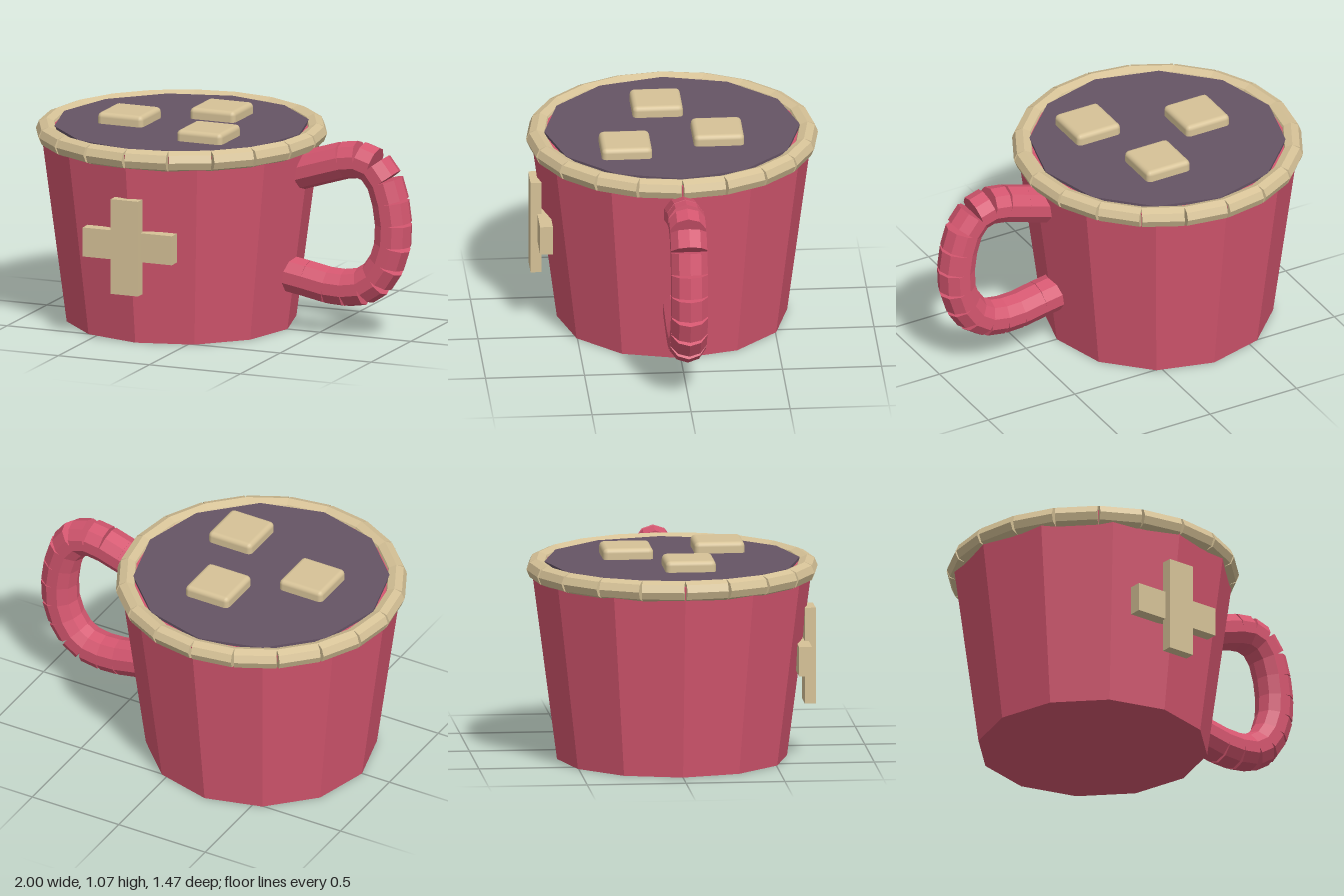
import * as THREE from 'three';
import { RoundedBoxGeometry } from 'three/addons/geometries/RoundedBoxGeometry.js';

const CX = -0.26; // axis of the cup

// Faceted normals for the low-poly look
function faceted(geometry) {
  const g = geometry.index ? geometry.toNonIndexed() : geometry;
  g.computeVertexNormals();
  return g;
}

function addMesh(parent, name, geometry, material, x, y, z) {
  const mesh = new THREE.Mesh(geometry, material);
  mesh.name = name;
  mesh.position.set(x, y, z);
  parent.add(mesh);
  return mesh;
}

// Chain of straight capped cylinders, leaving wedge gaps on the outside of bends
function segmentChain(name, points, radius, sides, material) {
  const group = new THREE.Group();
  group.name = name;
  for (let i = 0; i < points.length - 1; i++) {
    const a = points[i], b = points[i + 1];
    const geo = new THREE.CylinderGeometry(radius, radius, a.distanceTo(b), sides);
    geo.rotateX(Math.PI / 2);
    const mid = a.clone().add(b).multiplyScalar(0.5);
    const mesh = addMesh(group, name + 'Segment', faceted(geo), material, mid.x, mid.y, mid.z);
    mesh.lookAt(b);
  }
  return group;
}

export function createModel() {
  const model = new THREE.Group();
  model.name = 'mug';

  const red = new THREE.MeshStandardMaterial({ color: 0xd4566f });
  red.name = 'rose red';
  const cream = new THREE.MeshStandardMaterial({ color: 0xd6c297 });
  cream.name = 'cream';
  const cocoa = new THREE.MeshStandardMaterial({ color: 0x665465 });
  cocoa.name = 'cocoa purple';

  // Tapered twelve-sided cup and the drink on top
  addMesh(model, 'cup', faceted(new THREE.CylinderGeometry(0.713, 0.582, 0.998, 12)), red, CX, 0.499, 0);
  addMesh(model, 'drink', faceted(new THREE.CylinderGeometry(0.645, 0.645, 0.03, 12)), cocoa, CX, 0.998, 0);

  // Rim of twenty short rods
  const rimPoints = [];
  for (let i = 0; i <= 20; i++) {
    const t = (i / 20) * Math.PI * 2;
    rimPoints.push(new THREE.Vector3(CX + 0.684 * Math.cos(t), 0.972, 0.684 * Math.sin(t)));
  }
  model.add(segmentChain('rim', rimPoints, 0.053, 8, cream));

  // Handle of short rods along a hooked path
  const handlePoints = [
    [0.39, 0.825], [0.53, 0.87], [0.635, 0.903], [0.72, 0.915], [0.8, 0.89], [0.858, 0.815],
    [0.89, 0.71], [0.905, 0.6], [0.9, 0.49], [0.868, 0.39], [0.815, 0.31], [0.74, 0.26],
    [0.645, 0.245], [0.55, 0.249], [0.43, 0.272], [0.335, 0.288],
  ].map(([x, y]) => new THREE.Vector3(x, y, 0));
  model.add(segmentChain('handle', handlePoints, 0.096, 10, red));

  // Floating marshmallows
  for (const [x, z] of [[-0.52, 0.06], [-0.135, -0.22], [0, 0.255]]) {
    addMesh(model, 'marshmallow', new RoundedBoxGeometry(0.25, 0.08, 0.255, 2, 0.025), cream, x, 1.03, z);
  }

  // Cross on the front made of two bars
  addMesh(model, 'crossUpright', new THREE.BoxGeometry(0.15, 0.49, 0.055), cream, CX, 0.52, 0.6925);
  addMesh(model, 'crossBar', new THREE.BoxGeometry(0.49, 0.15, 0.065), cream, CX, 0.52, 0.6525);

  return model;
}
